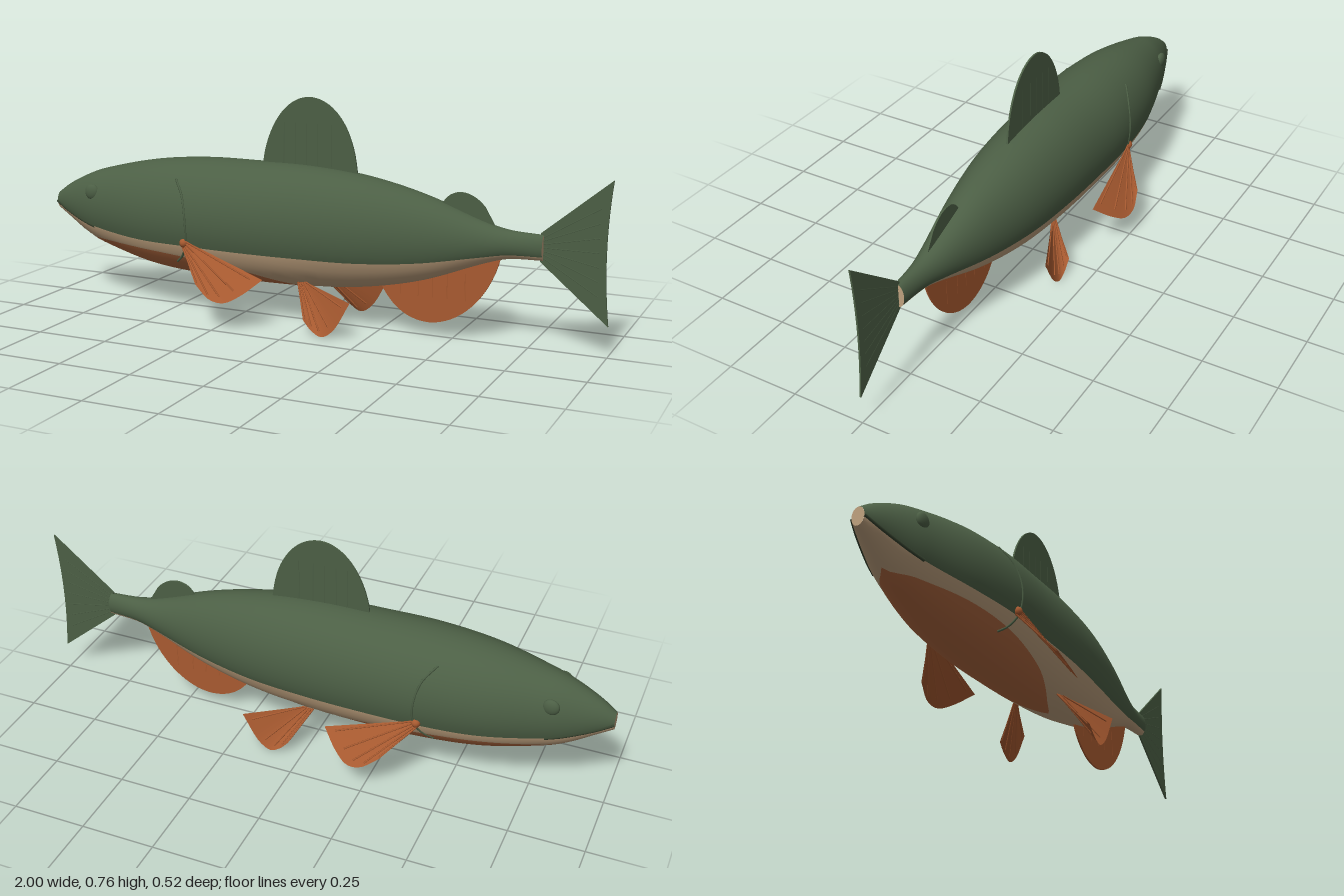
import * as THREE from 'three';

const mat = (name, color, side = THREE.FrontSide) => {
  const m = new THREE.MeshStandardMaterial({ color, side });
  m.name = name;
  return m;
};

// x, top y, bottom y, half width, lower edge of the green back, upper edge of the belly patch
const STATIONS = [
  [-1.0, 0.365, 0.305, 0.022, 0.333, 0.30],
  [-0.95, 0.4, 0.275, 0.045, 0.312, 0.27],
  [-0.87, 0.44, 0.225, 0.075, 0.285, 0.225],
  [-0.8, 0.465, 0.195, 0.098, 0.268, 0.222],
  [-0.6, 0.51, 0.145, 0.148, 0.252, 0.218],
  [-0.4, 0.53, 0.125, 0.168, 0.25, 0.205],
  [-0.2, 0.532, 0.12, 0.166, 0.246, 0.175],
  [0, 0.53, 0.124, 0.158, 0.245, 0.13],
  [0.2, 0.51, 0.142, 0.138, 0.245, 0.14],
  [0.4, 0.465, 0.185, 0.1, 0.258, 0.18],
  [0.6, 0.395, 0.26, 0.052, 0.288, 0.25],
  [0.68, 0.376, 0.283, 0.035, 0.3, 0.27],
  [0.79, 0.37, 0.288, 0.023, 0.302, 0.28],
];

// Smooth cross-section values at x
function section(x) {
  const S = STATIONS, last = S.length - 1;
  let i = 0;
  while (i < last - 1 && x > S[i + 1][0]) i++;
  const a = S[i], b = S[i + 1], h = b[0] - a[0], t = (x - a[0]) / h;
  const slope = (k, c) => {
    const p = S[Math.max(k - 1, 0)], n = S[Math.min(k + 1, last)];
    return (n[c] - p[c]) / (n[0] - p[0]);
  };
  const [top, bottom, hw, back, belly] = [1, 2, 3, 4, 5].map((c) => {
    const t2 = t * t, t3 = t2 * t;
    return (2 * t3 - 3 * t2 + 1) * a[c] + (t3 - 2 * t2 + t) * h * slope(i, c)
      + (3 * t2 - 2 * t3) * b[c] + (t3 - t2) * h * slope(i + 1, c);
  });
  return { cy: (top + bottom) / 2, ry: (top - bottom) / 2, hw, back, belly };
}

// Point on the body's side at x and y
function onSkin(x, y, side, lift = 0) {
  const s = section(x), c = Math.max(-1, Math.min(1, (y - s.cy) / s.ry));
  return new THREE.Vector3(x, y, side * (s.hw * Math.sqrt(1 - c * c) + lift));
}

// Lofted body; rings are split at the colour borders so each band gets its own material
function bodyGeometry() {
  const RINGS = 90, BANDS = [14, 5, 6], HALF = 25, N = HALF * 2;
  const pos = [], faces = [[], [], []], bandOf = [];
  BANDS.forEach((n, b) => { for (let k = 0; k < n; k++) bandOf.push(b); });
  for (let i = 0; i <= RINGS; i++) {
    const x = -1 + 1.79 * i / RINGS, s = section(x);
    const angle = (y) => Math.acos(Math.max(-1, Math.min(1, (y - s.cy) / s.ry)));
    const cuts = [0, angle(s.back), angle(s.belly), Math.PI], half = [];
    BANDS.forEach((n, b) => {
      for (let k = 0; k < n; k++) half.push(cuts[b] + (cuts[b + 1] - cuts[b]) * k / n);
    });
    half.push(Math.PI);
    for (let j = 0; j < N; j++) {
      const th = j <= HALF ? half[j] : -half[N - j];
      pos.push(x, s.cy + s.ry * Math.cos(th), s.hw * Math.sin(th));
    }
  }
  for (let i = 0; i < RINGS; i++) for (let j = 0; j < N; j++) {
    const a = i * N + j, b = i * N + (j + 1) % N;
    faces[bandOf[j < HALF ? j : N - 1 - j]].push(a, b, a + N, b, b + N, a + N);
  }
  const g = new THREE.BufferGeometry();
  g.setAttribute('position', new THREE.Float32BufferAttribute(pos, 3));
  g.setIndex(faces.flat());
  let start = 0;
  faces.forEach((f, k) => { g.addGroup(start, f.length, k); start += f.length; });
  g.computeVertexNormals();
  return g;
}

export function createModel() {
  const model = new THREE.Group();
  const green = mat('back green', 0x4c5f45);
  const darkGreen = mat('mouth dark green', 0x36432f);
  const cream = mat('flank cream', 0xbfa17e);
  const rust = mat('belly rust', 0xb0683f);
  const orange = mat('fin orange', 0xa85a30, THREE.DoubleSide);

  const add = (name, geometry, material, parent = model) => {
    const m = new THREE.Mesh(geometry, material);
    m.name = name;
    parent.add(m);
    return m;
  };
  const tube = (name, points, r, material, parent) =>
    add(name, new THREE.TubeGeometry(new THREE.CatmullRomCurve3(points), 20, r, 6), material, parent);

  // Body and its two end caps
  add('body', bodyGeometry(), [green, cream, rust]);
  [[-1, 'noseTip'], [0.79, 'tailStump']].forEach(([x, name]) => {
    const s = section(x), cap = add(name, new THREE.CircleGeometry(1, 24), cream);
    cap.scale.set(s.hw, s.ry, 1);
    cap.rotation.y = Math.sign(x) * Math.PI / 2;
    cap.position.set(x, s.cy, 0);
  });

  // Flat fins on the centre line, each with thin raised rays
  const flatFin = (name, material, shape, rays) => {
    const fin = new THREE.Group();
    fin.name = name;
    model.add(fin);
    const g = new THREE.ExtrudeGeometry(shape, { depth: 0.006, bevelEnabled: false, curveSegments: 16 });
    add(name + 'Blade', g.translate(0, 0, -0.003), material, fin);
    rays.forEach(([x0, y0, x1, y1]) => tube(name + 'Ray',
      [new THREE.Vector3(x0, y0, 0), new THREE.Vector3(x1, y1, 0)], 0.004, material, fin));
  };

  const dorsal = new THREE.Shape();
  dorsal.moveTo(-0.18, 0.5);
  dorsal.lineTo(-0.175, 0.55);
  dorsal.bezierCurveTo(-0.15, 0.68, -0.08, 0.755, -0.01, 0.757);
  dorsal.bezierCurveTo(0.07, 0.757, 0.14, 0.68, 0.16, 0.55);
  dorsal.lineTo(0.167, 0.5);
  flatFin('dorsalFin', green, dorsal, [-0.1, -0.06, -0.02, 0.02, 0.07].map((x) => [x, 0.51, x, 0.67]));

  const adipose = new THREE.Shape();
  adipose.moveTo(0.45, 0.42);
  adipose.bezierCurveTo(0.47, 0.5, 0.55, 0.5, 0.6, 0.44);
  adipose.lineTo(0.635, 0.38);
  adipose.lineTo(0.5, 0.4);
  flatFin('adiposeFin', green, adipose, []);

  const caudal = new THREE.Shape();
  caudal.moveTo(0.78, 0.375);
  caudal.lineTo(1, 0.558);
  caudal.quadraticCurveTo(0.972, 0.33, 1, 0.1);
  caudal.lineTo(0.78, 0.285);
  flatFin('tailFin', green, caudal,
    [-3, -2, -1, 0, 1, 2, 3].map((k) => [0.785, 0.33 + k * 0.01, 0.965, 0.33 + k * 0.046]));

  const anal = new THREE.Shape();
  anal.moveTo(0.24, 0.18);
  anal.bezierCurveTo(0.28, 0.09, 0.34, 0.045, 0.42, 0.045);
  anal.bezierCurveTo(0.52, 0.05, 0.62, 0.14, 0.655, 0.285);
  anal.lineTo(0.55, 0.3);
  flatFin('analFin', orange, anal, [0.32, 0.38, 0.43, 0.48, 0.54].map((x) => [x, 0.22, x, 0.13]));

  // Paired fins: a fan from a short root edge to a curved outer edge
  const fanFin = (name, side, rootA, rootB, rim) => {
    const fin = new THREE.Group();
    fin.name = name;
    model.add(fin);
    const v = (p) => new THREE.Vector3(p[0], p[1], p[2] * side);
    const curve = new THREE.CatmullRomCurve3(rim.map(v)), n = 18, pos = [], index = [];
    for (let i = 0; i <= n; i++) {
      const r = v(rootA).lerp(v(rootB), i / n), e = curve.getPoint(i / n);
      pos.push(r.x, r.y, r.z, e.x, e.y, e.z);
      if (i < n) index.push(2 * i, 2 * i + 1, 2 * i + 2, 2 * i + 1, 2 * i + 3, 2 * i + 2);
      if (i % 4 === 1) tube(name + 'Ray', [r, r.clone().lerp(e, 0.9)], 0.003, orange, fin);
    }
    const g = new THREE.BufferGeometry();
    g.setAttribute('position', new THREE.Float32BufferAttribute(pos, 3));
    g.setIndex(index);
    g.computeVertexNormals();
    add(name + 'Blade', g, orange, fin);
  };

  [1, -1].forEach((side) => {
    const tag = side > 0 ? 'left' : 'right';
    fanFin(tag + 'PectoralFin', side, [-0.41, 0.25, 0.155], [-0.395, 0.272, 0.163],
      [[-0.31, 0.15, 0.245], [-0.25, 0.108, 0.26], [-0.2, 0.1, 0.253], [-0.15, 0.125, 0.225], [-0.095, 0.172, 0.18]]);
    fanFin(tag + 'PelvicFin', side, [-0.015, 0.15, 0.08], [0.02, 0.155, 0.085],
      [[0.045, 0.05, 0.167], [0.075, 0.018, 0.168], [0.11, 0.001, 0.168], [0.15, 0.025, 0.168], [0.21, 0.125, 0.168]]);

    // Eye, gill edge, mouth line and the knob at the pectoral root
    const eye = add(tag + 'Eye', new THREE.SphereGeometry(0.028, 20, 14), green);
    eye.position.copy(onSkin(-0.81, 0.39, side, -0.002));
    eye.scale.z = 0.5;
    tube(tag + 'GillEdge', [[-0.45, 0.47], [-0.41, 0.42], [-0.39, 0.34], [-0.393, 0.26], [-0.42, 0.21], [-0.45, 0.185]]
      .map(([x, y]) => onSkin(x, y, side)), 0.004, green);
    tube(tag + 'MouthLine', [-1, -0.95, -0.9, -0.85, -0.8]
      .map((x) => onSkin(x, section(x).back, side)), 0.005, darkGreen);
    const knob = add(tag + 'PectoralRoot', new THREE.SphereGeometry(0.016, 12, 8), orange);
    knob.position.set(-0.4, 0.262, side * 0.157);
  });

  return model;
}
